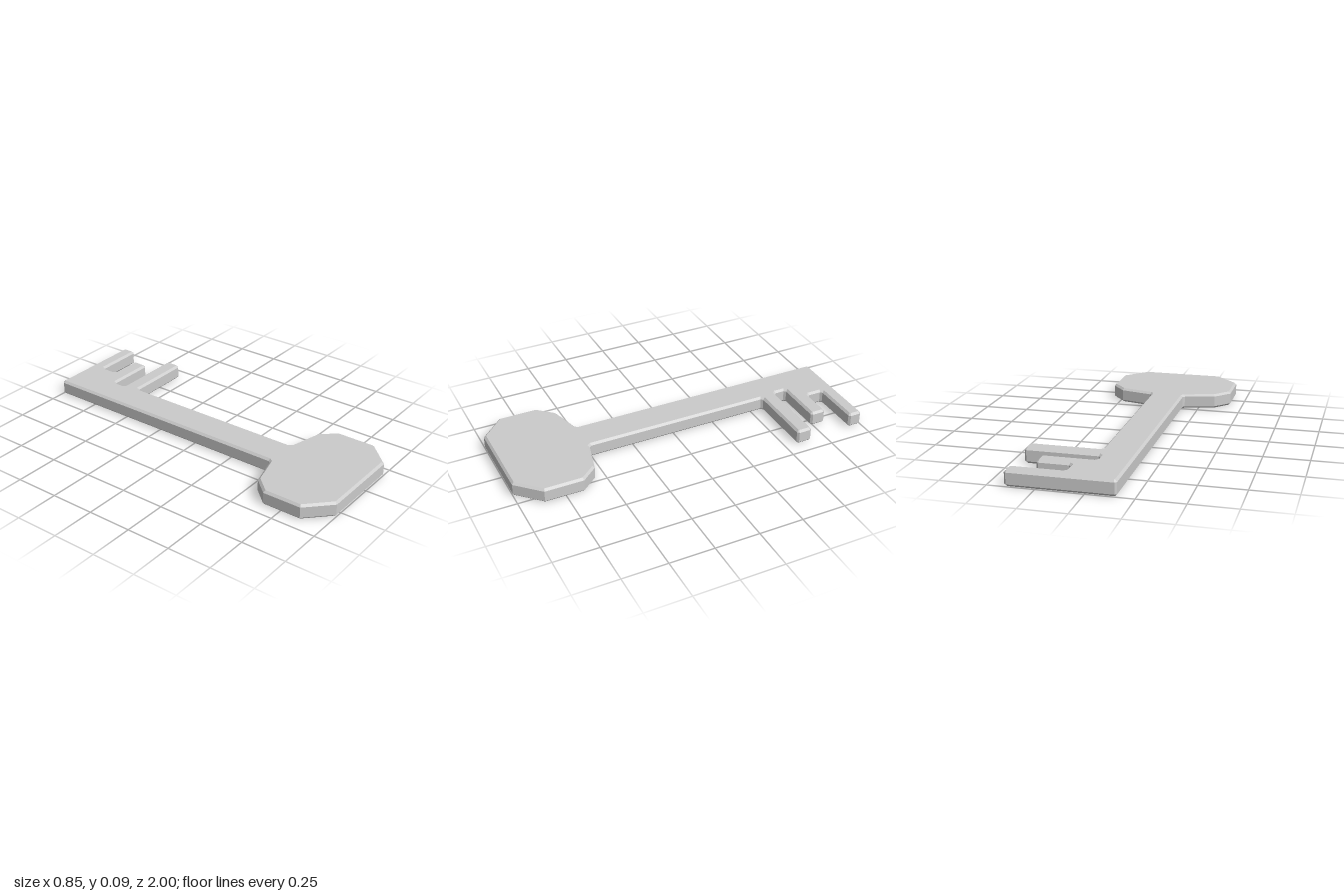
import * as THREE from 'three';

const BEVEL = 0.012, HEIGHT = 0.085, CUT = 0.011;

// Key outline seen from above as [x, z]
const outline = [
  // blade tip and three teeth
  [-0.16, -1], [0.41, -1], [0.41, -0.92], [0.12, -0.92],
  [0.12, -0.825], [0.305, -0.825], [0.305, -0.735], [0.016, -0.735],
  [0.016, -0.66], [0.427, -0.66], [0.427, -0.57], [0.035, -0.57],
  // shaft into the faceted bow
  [0.035, 0.51], [0.23, 0.56], [0.307, 0.65], [0.307, 0.87], [0.18, 1],
  [-0.295, 1], [-0.427, 0.87], [-0.427, 0.65], [-0.345, 0.56], [-0.16, 0.51],
];

// Clip every sharp corner with a small chamfer; keep the blunt bow corners
function chamferedShape(points, cut) {
  const pts = points.map(([x, z]) => new THREE.Vector2(x, -z));
  const out = [];
  pts.forEach((p, i) => {
    const toPrev = pts.at(i - 1).clone().sub(p).normalize();
    const toNext = pts[(i + 1) % pts.length].clone().sub(p).normalize();
    if (toPrev.dot(toNext) < -0.5) out.push(p);
    else out.push(p.clone().addScaledVector(toPrev, cut), p.clone().addScaledVector(toNext, cut));
  });
  return new THREE.Shape(out);
}

export function createModel() {
  const group = new THREE.Group();
  group.name = 'key';

  // One flat plate with bevelled rims, laid down on the ground
  const geometry = new THREE.ExtrudeGeometry(chamferedShape(outline, CUT), {
    depth: HEIGHT - 2 * BEVEL,
    bevelEnabled: true,
    bevelThickness: BEVEL,
    bevelSize: BEVEL,
    bevelOffset: -BEVEL,
    bevelSegments: 1,
  });
  geometry.rotateX(-Math.PI / 2);
  geometry.translate(0, BEVEL, 0);

  const body = new THREE.Mesh(
    geometry,
    new THREE.MeshStandardMaterial({ color: 0xcccccc, flatShading: true })
  );
  body.name = 'keyBody';
  group.add(body);
  return group;
}
